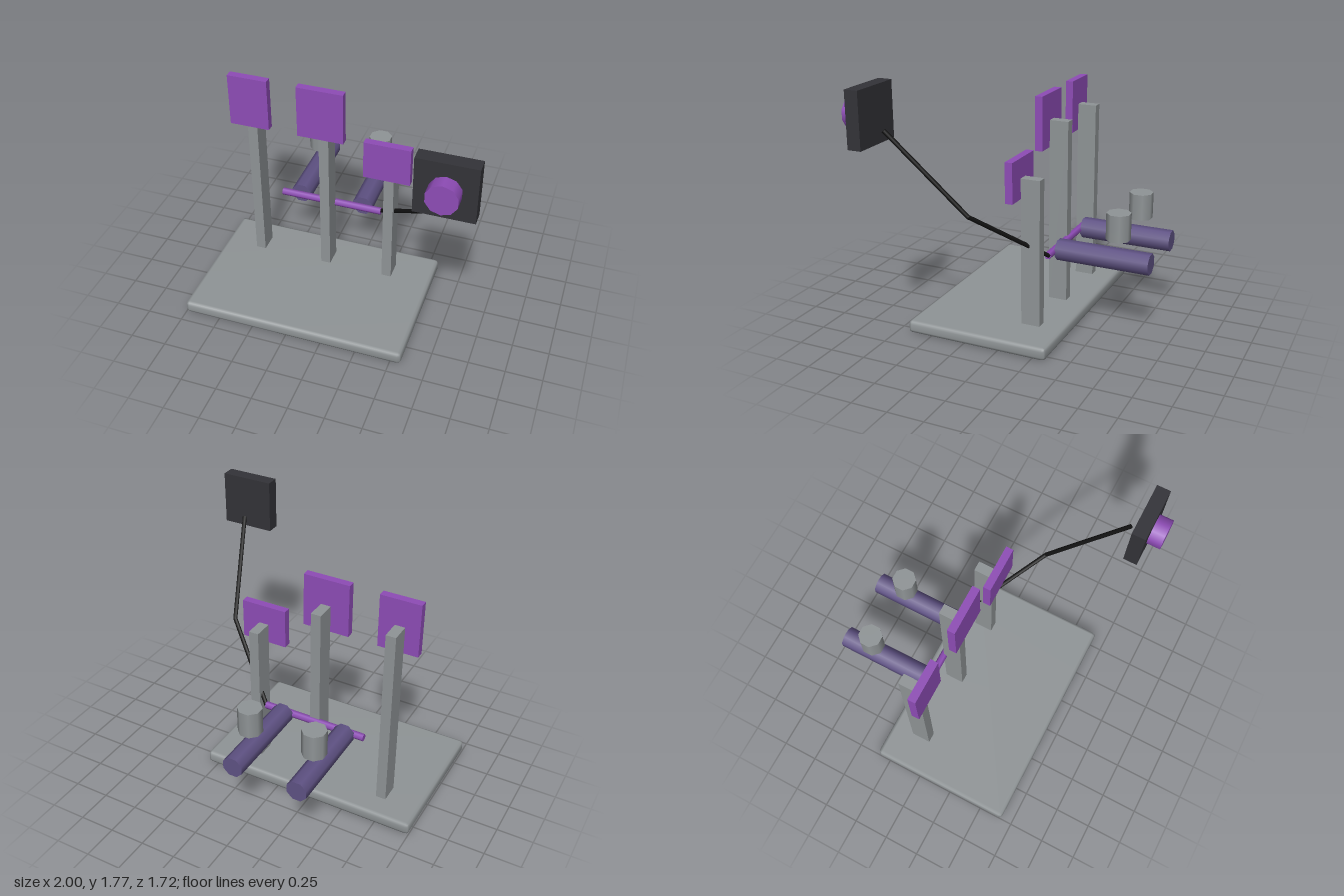
import * as THREE from 'three';
import { mergeVertices } from 'three/addons/utils/BufferGeometryUtils.js';
import { RoundedBoxGeometry } from 'three/addons/geometries/RoundedBoxGeometry.js';

const paint = (name, color) => {
  const m = new THREE.MeshStandardMaterial({ color });
  m.name = name;
  return m;
};

export function createModel() {
  const model = new THREE.Group();
  const grey = paint('grey', 0x8f9496);
  const purple = paint('purple', 0x8e4cb6);
  const violet = paint('dark violet', 0x5f5284);
  const charcoal = paint('charcoal', 0x333338);
  const black = paint('black', 0x121212);

  const add = (name, geometry, material, x = 0, y = 0, z = 0) => {
    const mesh = new THREE.Mesh(geometry, material);
    mesh.name = name;
    mesh.position.set(x, y, z);
    model.add(mesh);
    return mesh;
  };

  // Box given by its limits on each axis
  const box = (name, material, [x0, x1], [y0, y1], [z0, z1]) =>
    add(name, new THREE.BoxGeometry(x1 - x0, y1 - y0, z1 - z0), material,
      (x0 + x1) / 2, (y0 + y1) / 2, (z0 + z1) / 2);

  // Cylinder running between two points
  const rod = (name, material, a, b, radius, sides, turn = 0) => {
    const from = new THREE.Vector3(...a), to = new THREE.Vector3(...b);
    const axis = to.clone().sub(from);
    const geometry = new THREE.CylinderGeometry(radius, radius, axis.length(), sides);
    geometry.rotateY(turn);
    const mid = from.add(to).multiplyScalar(0.5);
    const mesh = add(name, geometry, material, mid.x, mid.y, mid.z);
    mesh.quaternion.setFromUnitVectors(new THREE.Vector3(0, 1, 0), axis.normalize());
    return mesh;
  };

  // Base slab with softly shaded bevels
  let slab = new RoundedBoxGeometry(1.575, 0.09, 1.015, 1, 0.025);
  slab.deleteAttribute('normal');
  slab.deleteAttribute('uv');
  slab = mergeVertices(slab, 1e-4);
  slab.computeVertexNormals();
  add('base', slab, grey, -0.2125, 0.045, 0.1625);

  // Posts and the panels on their fronts: post centre, post top, panel limits
  const stands = [
    [-0.725, 1.4, [-0.86, -0.58], [1.21, 1.585]],
    [-0.21, 1.4, [-0.375, -0.05], [1.21, 1.585]],
    [0.255, 1.12, [0.09, 0.415], [0.98, 1.257]],
  ];
  for (const [x, top, width, height] of stands) {
    box('post', grey, [x - 0.035, x + 0.035], [0.07, top], [-0.185, -0.05]);
    box('panel', purple, width, height, [-0.05, 0.003]);
  }

  // Crossbar behind the posts
  rod('crossbar', purple, [-0.58, 0.56, -0.187], [0.165, 0.56, -0.187], 0.026, 6);

  // Rollers with a canister above each
  for (const x of [-0.445, 0.02]) {
    rod('roller', violet, [x, 0.56, -0.205], [x, 0.56, -0.86], 0.0745, 8, Math.PI / 8);
    rod('canister', grey, [x, 0.7, -0.63], [x, 0.885, -0.63], 0.083, 8, Math.PI / 8);
  }

  // Bent arm
  const elbow = [0.622, 0.935, 0.16];
  rod('lowerArm', black, [0.16, 0.56, -0.195], elbow, 0.015, 8);
  rod('upperArm', black, elbow, [0.812, 1.49, 0.63], 0.015, 8);
  add('elbow', new THREE.SphereGeometry(0.015, 8, 6), black, ...elbow);

  // Head with its round button
  box('head', charcoal, [0.628, 1], [1.398, 1.77], [0.675, 0.768]);
  rod('button', purple, [0.814, 1.585, 0.765], [0.814, 1.585, 0.86], 0.1, 10);

  return model;
}
